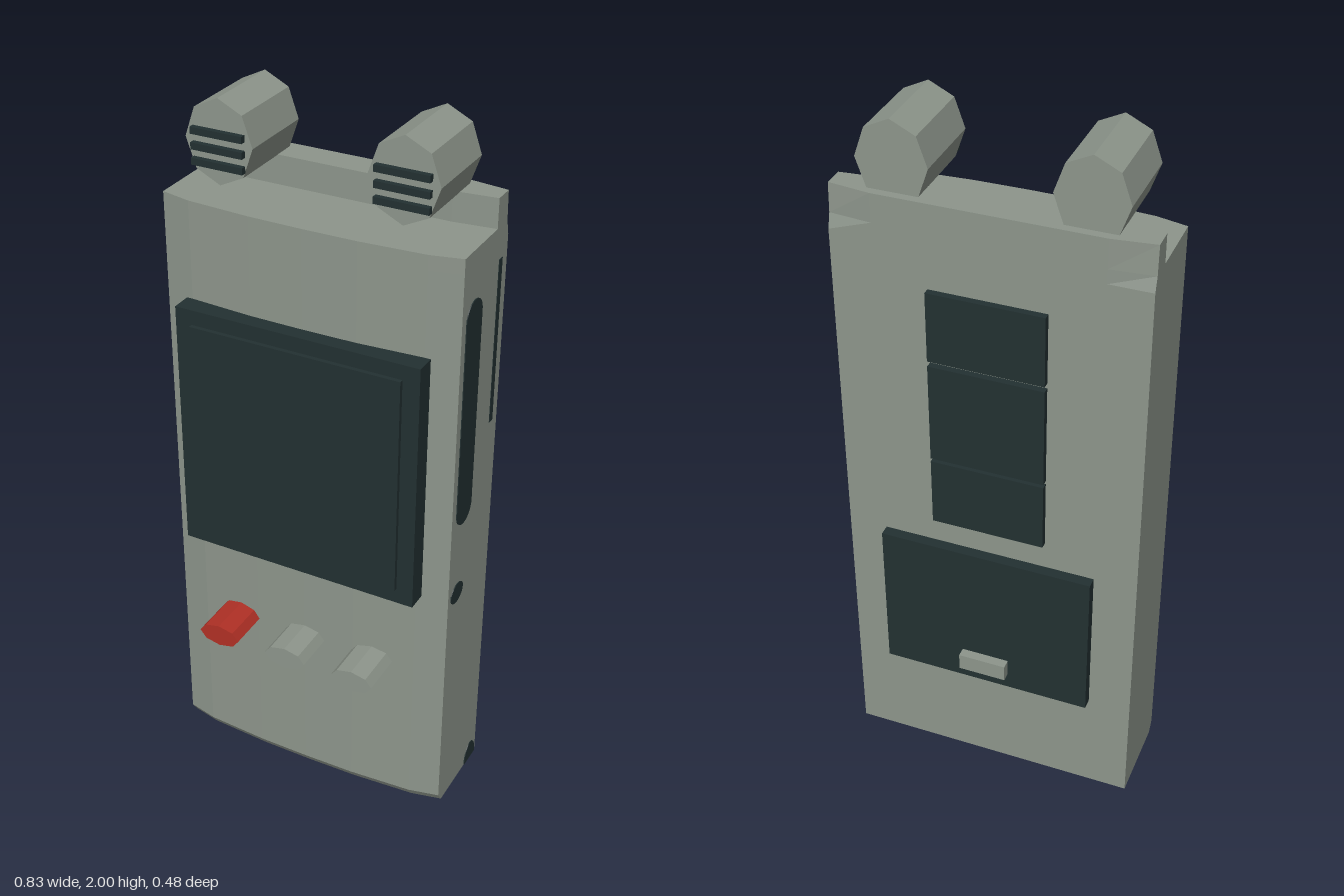
import * as THREE from 'three';

const mat = (name, color) => {
  const m = new THREE.MeshStandardMaterial({ color });
  m.name = name;
  return m;
};

// Flat-faced solid from convex cross-sections [[x, y, z], ...], lowest first,
// each running counter-clockwise as seen from above.
function loft(levels) {
  const pos = [];
  const tri = (...pts) => pts.forEach((p) => pos.push(...p));
  const n = levels[0].length;
  for (let l = 0; l < levels.length - 1; l++) {
    const lo = levels[l], hi = levels[l + 1];
    for (let i = 0; i < n; i++) {
      const j = (i + 1) % n;
      tri(lo[i], lo[j], hi[j]);
      tri(lo[i], hi[j], hi[i]);
    }
  }
  const bottom = levels[0], top = levels[levels.length - 1];
  for (let i = 1; i < n - 1; i++) {
    tri(top[0], top[i], top[i + 1]);
    tri(bottom[0], bottom[i + 1], bottom[i]);
  }
  const g = new THREE.BufferGeometry();
  g.setAttribute('position', new THREE.Float32BufferAttribute(pos, 3));
  g.computeVertexNormals();
  return g;
}

// Mirrors a right-hand half outline (front centre to back) into a closed level
function level(y, half) {
  const left = half.filter(([x]) => x > 0).reverse().map(([x, z]) => [-x, z]);
  return [...half, ...left].map(([x, z]) => [x, y, z]);
}

export function createModel() {
  const model = new THREE.Group();
  model.name = 'handheldScanner';
  const grey = mat('caseGrey', 0x8d958b);
  const dark = mat('darkPanel', 0x223031);
  const red = mat('buttonRed', 0xb03025);

  const add = (name, geo, material, x = 0, y = 0, z = 0) => {
    const mesh = new THREE.Mesh(geo, material);
    mesh.name = name;
    mesh.position.set(x, y, z);
    model.add(mesh);
    return mesh;
  };
  // Box given by its limits on each axis
  const box = (name, material, [x0, x1], [y0, y1], [z0, z1]) =>
    add(name, new THREE.BoxGeometry(x1 - x0, y1 - y0, z1 - z0), material,
      (x0 + x1) / 2, (y0 + y1) / 2, (z0 + z1) / 2);
  // Eight-sided oval prism pointing forward
  const ovalPrism = (name, material, x, y, rx, ry, z0, z1) => {
    const g = new THREE.CylinderGeometry(1, 1, z1 - z0, 8).toNonIndexed();
    g.rotateX(Math.PI / 2);
    g.scale(rx, ry, 1);
    g.computeVertexNormals();
    return add(name, g, material, x, y, (z0 + z1) / 2);
  };

  // Case with a bowed front, tucked lower edge and dented upper back corners
  const outline = (tuck, corner) => [
    [0, 0.122 - tuck], [0.15, 0.12 - tuck], [0.33, 0.108 - tuck], [0.416, 0.088 - tuck],
    [0.416, corner], [0.3, -0.171],
  ];
  add('case', loft([
    level(0, outline(0.02, -0.171)),
    level(0.03, outline(0, -0.171)),
    level(1.69, outline(0, -0.171)),
    level(1.73, outline(0, -0.16)),
  ]), grey);

  // Raised ridge along the back of the top
  const ridge = (corner) => [[0, -0.087], [0.3, -0.087], [0.416, -0.1], [0.416, corner], [0.3, -0.171]];
  add('topRidge', loft([level(1.73, ridge(-0.16)), level(1.81, ridge(-0.156))]), grey);

  // Top sensors with three dark slats each
  for (const side of [-1, 1]) {
    const x = side * 0.25;
    ovalPrism('sensor', grey, x, 1.888, 0.095, 0.112, -0.148, 0.081);
    for (const y of [1.831, 1.871, 1.911]) {
      box('sensorSlat', dark, [x - 0.073, x + 0.073], [y - 0.009, y + 0.009], [0.08, 0.096]);
    }
  }

  // Screen
  box('screenFrame', dark, [-0.347, 0.347], [0.74, 1.457], [0.108, 0.165]);
  box('screen', dark, [-0.3, 0.3], [0.785, 1.415], [0.16, 0.177]);

  // Front buttons
  [[-0.21, red], [0, grey], [0.207, grey]].forEach(([x, material]) =>
    ovalPrism('button', material, x, 0.487, 0.0615, 0.033, 0.1, 0.24));

  // Back panels, battery cover and its latch
  for (const [y0, y1] of [[0.86, 1.06], [1.07, 1.36], [1.375, 1.575]]) {
    box('backPanel', dark, [-0.157, 0.157], [y0, y1], [-0.19, -0.165]);
  }
  box('batteryCover', dark, [-0.3, 0.3], [0.335, 0.79], [-0.215, -0.184]);
  box('coverLatch', grey, [-0.068, 0.068], [0.385, 0.435], [-0.242, -0.21]);

  // Thin inlays on the left side
  const inlay = (name, shape, y, z) => {
    const g = new THREE.ExtrudeGeometry(shape, { depth: 0.004, bevelEnabled: false, curveSegments: 10 });
    g.rotateY(Math.PI / 2);
    add(name, g, dark, 0.4145, y, z);
  };
  const slot = new THREE.Shape();
  slot.absarc(0, 0.279, 0.046, 0, Math.PI);
  slot.absarc(0, -0.279, 0.046, Math.PI, Math.PI * 2);
  inlay('sideSlot', slot, 1.27, 0.018);
  inlay('sidePort', new THREE.Shape().absellipse(0, 0, 0.038, 0.03, 0, Math.PI * 2), 0.728, 0.036);
  inlay('cornerPort', new THREE.Shape().absellipse(0, 0, 0.037, 0.06, 0, Math.PI), 0.001, -0.128);
  box('sideSeam', dark, [0.4145, 0.4175], [1.175, 1.64], [-0.141, -0.121]);

  return model;
}
